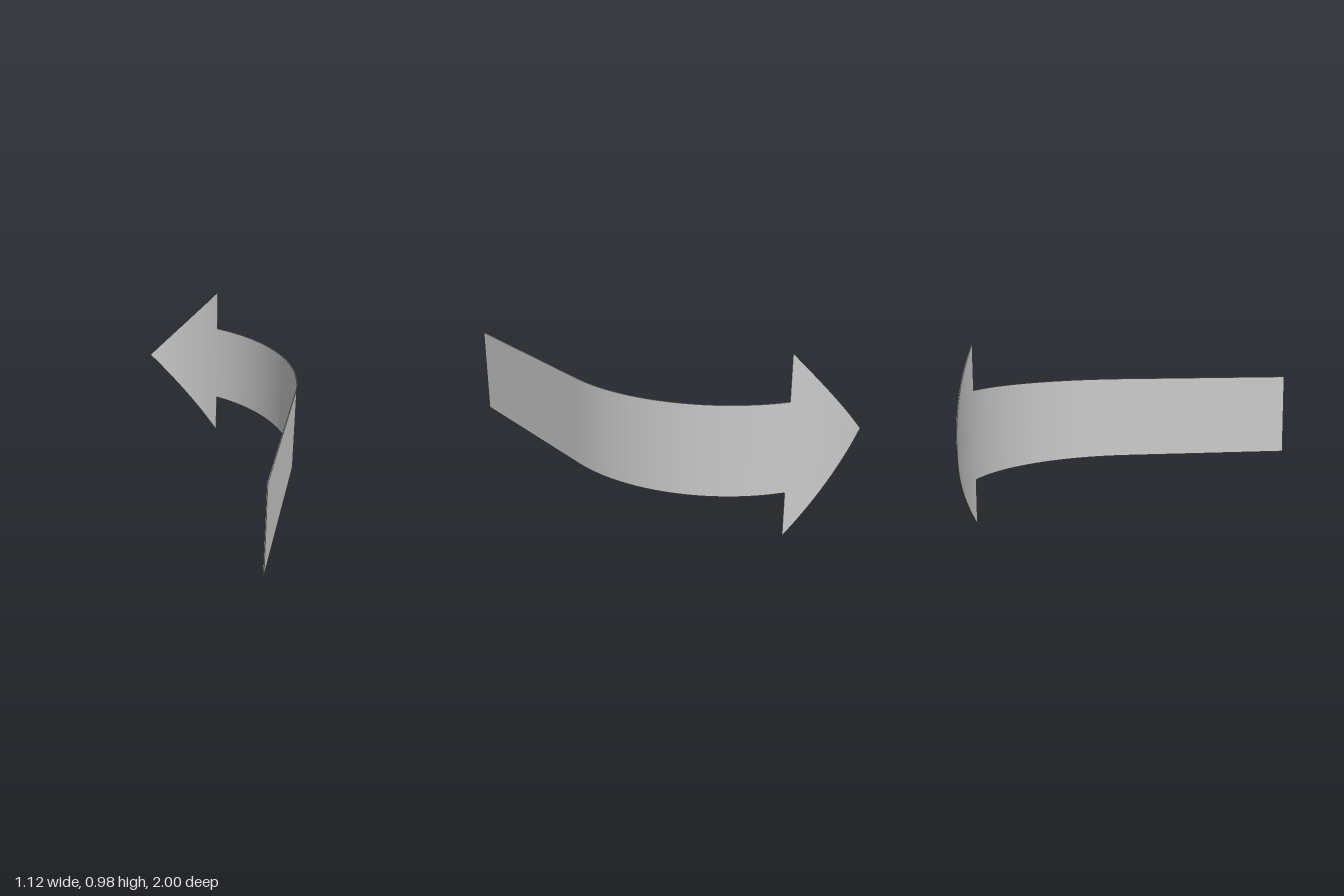
import * as THREE from 'three';

const RADIUS = 0.977, CX = -0.43, CZ = -0.02; // bend centre line
const MID = 0.49, THICK = 0.005;
const material = new THREE.MeshStandardMaterial({ color: 0xcccccc, flatShading: true, side: THREE.DoubleSide });

// Station on the bend: angle runs from PI/2 (side) through 0 (back)
function bendStation(angle, half) {
  const nx = Math.sin(angle), nz = -Math.cos(angle);
  return { x: CX + RADIUS * nx, z: CZ + RADIUS * nz, nx, nz, half };
}

// Thin upright strip through stations, each with its own half height
function ribbon(name, stations) {
  const positions = [], index = [];
  for (const { x, z, nx, nz, half } of stations) {
    for (const [side, up] of [[1, -1], [1, 1], [-1, 1], [-1, -1]]) {
      positions.push(x + nx * side * THICK / 2, MID + up * half, z + nz * side * THICK / 2);
    }
  }
  const last = (stations.length - 1) * 4;
  for (let a = 0; a < last; a += 4) {
    for (let j = 0; j < 4; j++) {
      const k = (j + 1) % 4;
      index.push(a + j, a + 4 + j, a + 4 + k, a + j, a + 4 + k, a + k);
    }
  }
  index.push(0, 1, 2, 0, 2, 3, last, last + 2, last + 1, last, last + 3, last + 2);
  const geometry = new THREE.BufferGeometry();
  geometry.setAttribute('position', new THREE.Float32BufferAttribute(positions, 3));
  geometry.setIndex(index);
  geometry.computeVertexNormals();
  const mesh = new THREE.Mesh(geometry, material);
  mesh.name = name;
  return mesh;
}

export function createModel() {
  const group = new THREE.Group();
  group.name = 'curvedArrow';
  const headStart = Math.asin((-0.083 - CX) / RADIUS);
  const tip = Math.asin((-0.561 - CX) / RADIUS);

  // Shaft: straight run, then the bend up to the head
  const shaft = [{ x: 0.555, z: 1, nx: 1, nz: 0, half: 0.244 }];
  const bendSteps = 32;
  for (let i = 0; i <= bendSteps; i++) {
    shaft.push(bendStation(THREE.MathUtils.lerp(Math.PI / 2, headStart, i / bendSteps), 0.244));
  }
  group.add(ribbon('arrowShaft', shaft));

  // Head: triangle wrapped on the same bend, tapering to the tip
  const head = [];
  const headSteps = 16;
  for (let i = 0; i <= headSteps; i++) {
    const t = i / headSteps;
    head.push(bendStation(THREE.MathUtils.lerp(headStart, tip, t), 0.49 * (1 - t)));
  }
  group.add(ribbon('arrowHead', head));
  return group;
}
